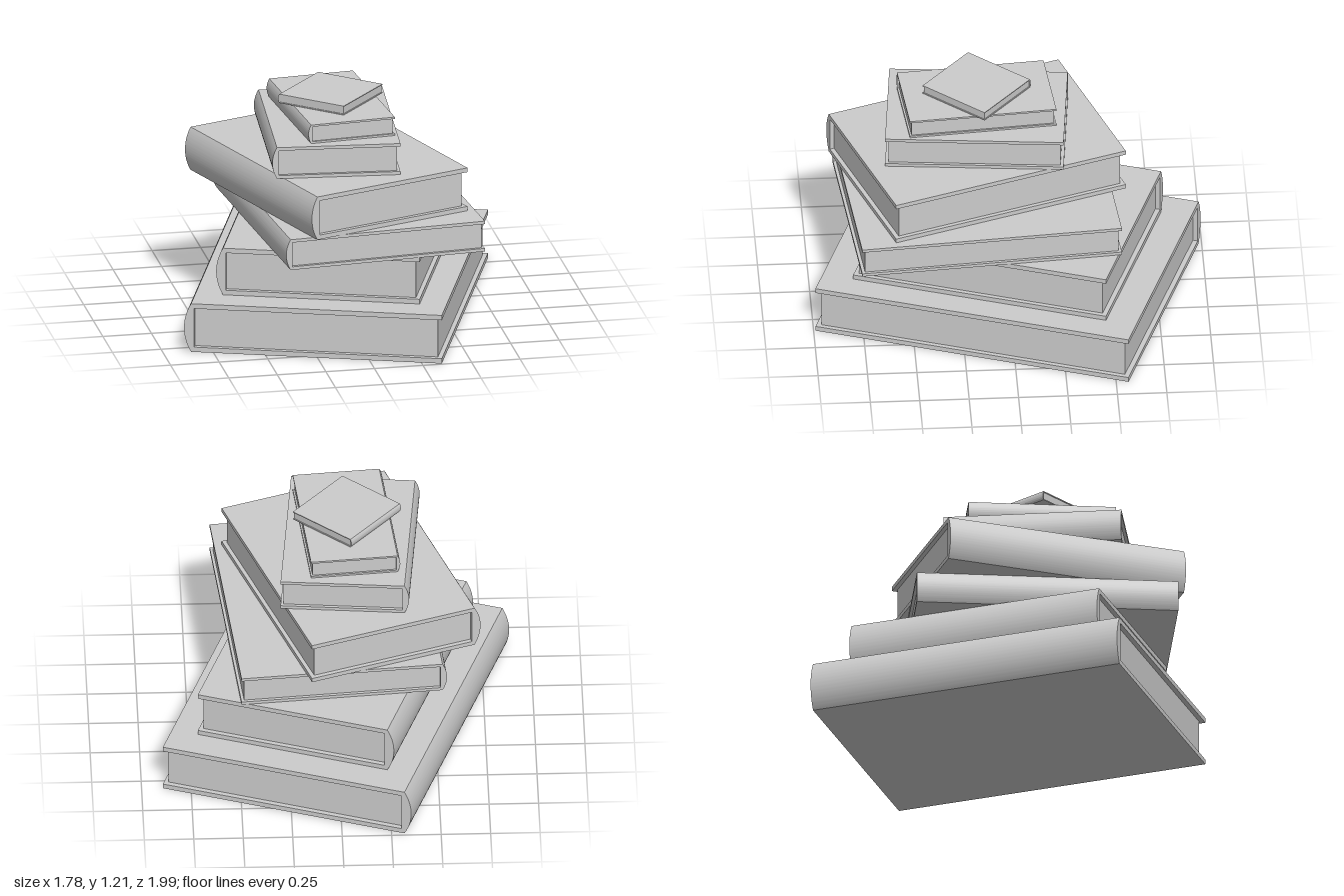
import * as THREE from 'three';
import { toCreasedNormals } from 'three/addons/utils/BufferGeometryUtils.js';

const material = new THREE.MeshStandardMaterial({ color: 0xcccccc });

// One closed book: spine towards -x, fore-edge towards +x, standing on y = 0
function createBook(width, height, length) {
  const book = new THREE.Group();
  const board = height * 0.1;    // thickness of the cover boards
  const bulge = height * 0.14;   // how far the spine is rounded
  const spine = height * 0.2;    // spine depth including the rounding
  const inset = height * 0.09;   // pages sit back from the cover edges
  const left = -width / 2, right = width / 2;

  // Cover: C-shaped section with a rounded back, extruded along the book
  const radius = (height * height / 4 + bulge * bulge) / (2 * bulge);
  const half = Math.asin(height / 2 / radius);
  const section = new THREE.Shape();
  section.moveTo(left + bulge, 0);
  section.lineTo(right, 0);
  section.lineTo(right, board);
  section.lineTo(left + spine, board);
  section.lineTo(left + spine, height - board);
  section.lineTo(right, height - board);
  section.lineTo(right, height);
  section.lineTo(left + bulge, height);
  section.absarc(left + radius, height / 2, radius, Math.PI - half, Math.PI + half, false);
  const coverGeometry = new THREE.ExtrudeGeometry(section, {
    depth: length, bevelEnabled: false, curveSegments: 20,
  });
  coverGeometry.translate(0, 0, -length / 2);
  const cover = new THREE.Mesh(toCreasedNormals(coverGeometry, 0.4), material);
  cover.name = 'cover';

  // Page block between the boards
  const pageWidth = width - spine - inset;
  const pages = new THREE.Mesh(
    new THREE.BoxGeometry(pageWidth, height - 2 * board, length - 2.2 * inset), material);
  pages.position.set(left + spine + pageWidth / 2, height / 2, 0);
  pages.name = 'pages';

  book.add(cover, pages);
  return book;
}

export function createModel() {
  const stack = new THREE.Group();
  stack.name = 'bookStack';

  // From the bottom up: width, length, top height, centre x, centre z, turn in degrees
  const books = [
    [1.315, 1.645, 0.257, 0, -0.003, -19.3],
    [1.038, 1.329, 0.506, 0.003, -0.003, -19.3],
    [1.045, 1.325, 0.668, 0.034, 0.156, 5.2],
    [0.913, 1.257, 0.897, -0.081, 0.154, 19.5],
    [0.65, 0.902, 1.063, -0.076, 0.152, -5.2],
    [0.454, 0.748, 1.162, -0.058, 0.153, 5.3],
    [0.381, 0.395, 1.21, -0.06, 0.152, -41],
  ];
  let base = 0;
  books.forEach(([width, length, top, x, z, turn], i) => {
    const book = createBook(width, top - base, length);
    book.name = `book${i + 1}`;
    book.position.set(x, base, z);
    book.rotation.y = THREE.MathUtils.degToRad(turn);
    stack.add(book);
    base = top;
  });
  return stack;
}
